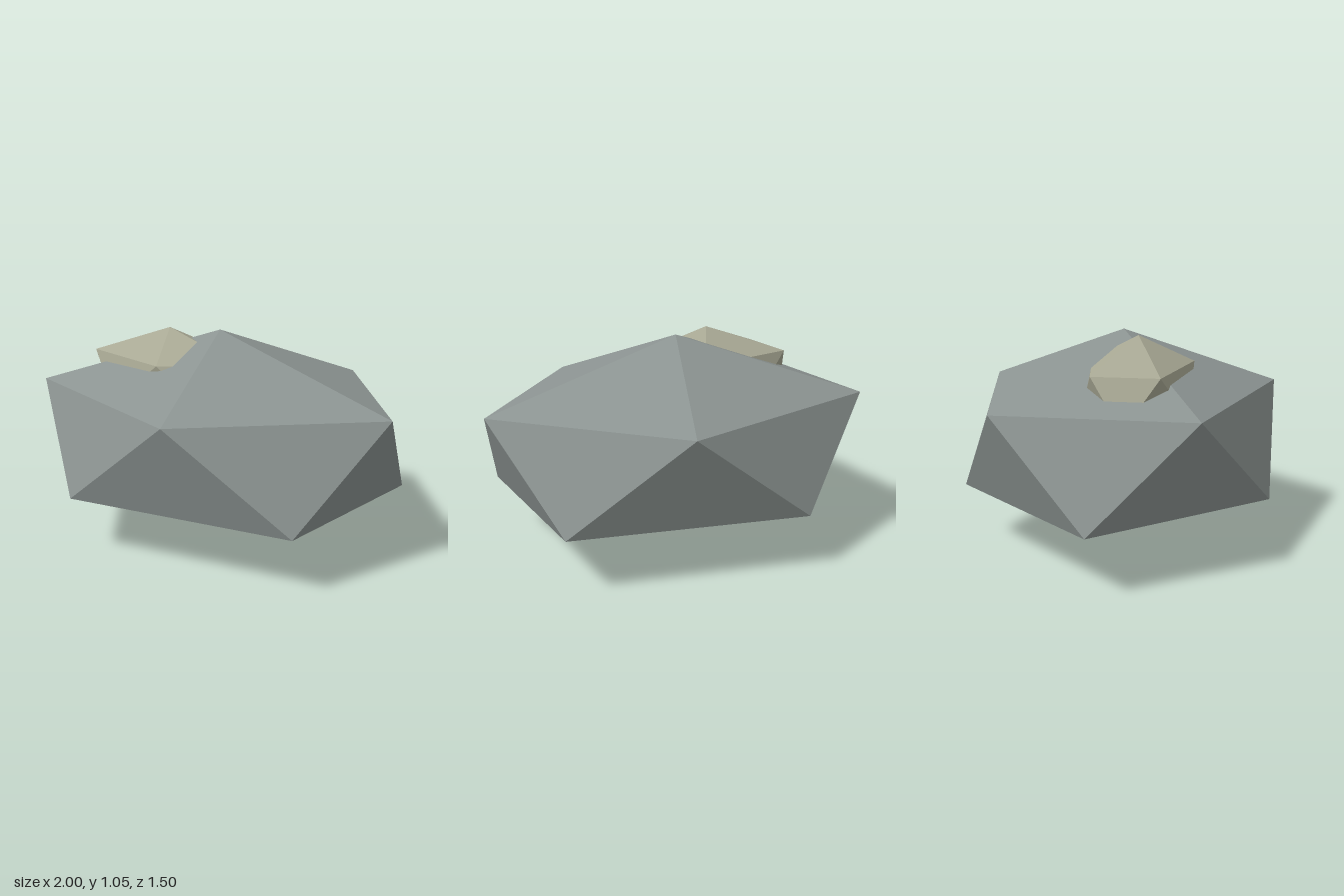
import * as THREE from 'three';

// Faceted stone: an icosahedron standing on a vertex, stretched per axis
function stone(name, color, radii, centre) {
  const geometry = new THREE.IcosahedronGeometry(1, 0);
  const phi = (1 + Math.sqrt(5)) / 2;
  geometry.rotateZ(-Math.atan(1 / phi)); // bring one vertex to the top
  geometry.scale(...radii);
  geometry.translate(...centre);
  geometry.computeVertexNormals();
  const material = new THREE.MeshStandardMaterial({ color, flatShading: true });
  const mesh = new THREE.Mesh(geometry, material);
  mesh.name = name;
  return mesh;
}

export function createModel() {
  const group = new THREE.Group();
  group.name = 'boulder';
  const ring = Math.sqrt(0.8); // radius of the vertex rings on a unit icosahedron

  // Main boulder
  group.add(stone('mainStone', 0x8c9492, [1 / ring, 0.525, 0.79 / ring], [0, 0.525, 0]));

  // Smaller pale stone half sunk into the upper slope
  group.add(stone('paleStone', 0xa8a894, [0.48 / ring, 0.253, 0.268 / ring], [-0.24, 0.797, 0.11]));

  return group;
}
